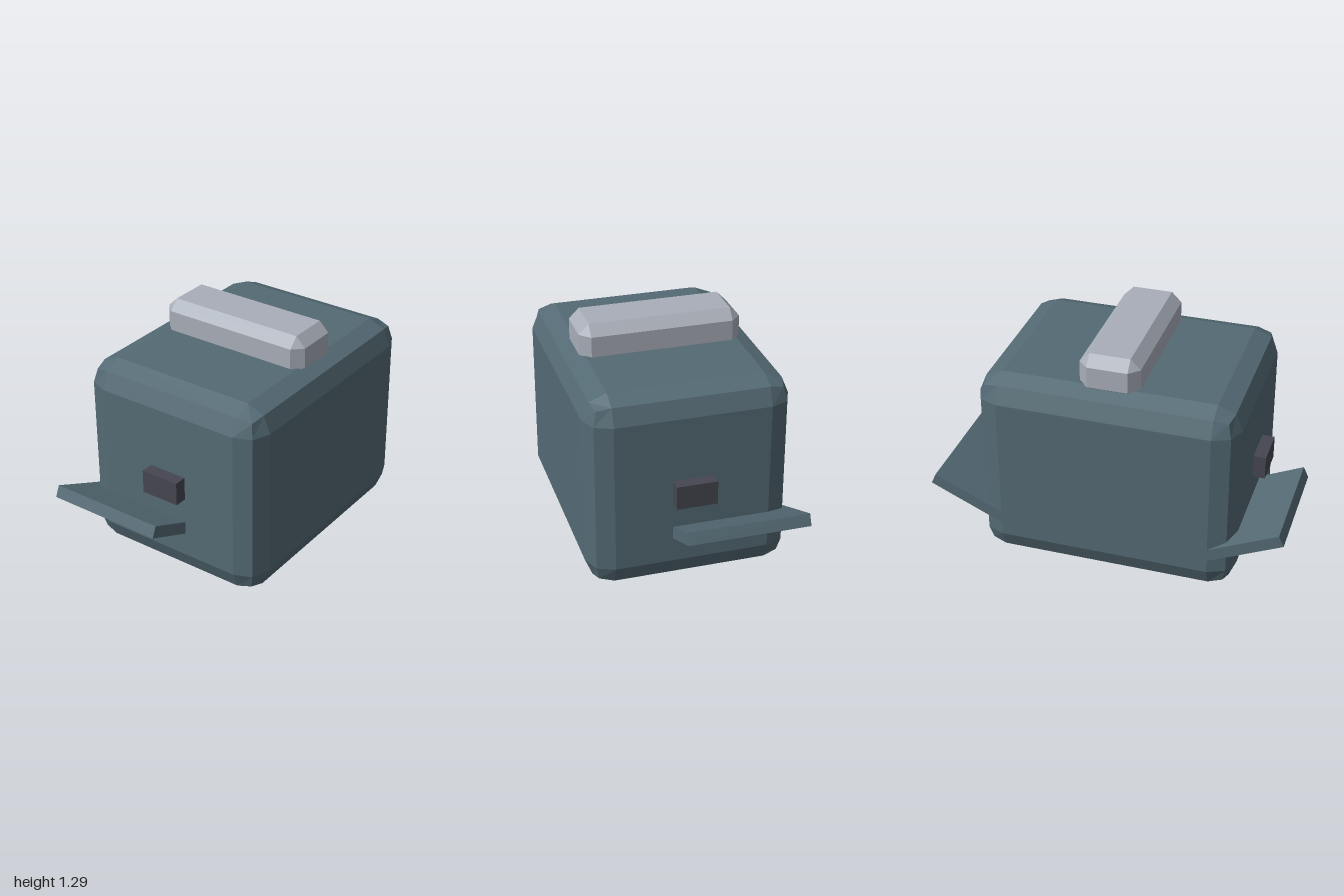
import * as THREE from 'three';
import { RoundedBoxGeometry } from 'three/addons/geometries/RoundedBoxGeometry.js';
import { ConvexGeometry } from 'three/addons/geometries/ConvexGeometry.js';

// Box with all edges cut at 45 degrees and triangular corners
function chamferBox(w, h, d, c) {
  const points = [];
  for (const sx of [-1, 1]) for (const sy of [-1, 1]) for (const sz of [-1, 1]) {
    for (const [cx, cy, cz] of [[0, c, c], [c, 0, c], [c, c, 0]]) {
      points.push(new THREE.Vector3(sx * (w / 2 - cx), sy * (h / 2 - cy), sz * (d / 2 - cz)));
    }
  }
  return new ConvexGeometry(points);
}

export function createModel() {
  const model = new THREE.Group();
  const slate = new THREE.MeshStandardMaterial({ color: 0x546a74, flatShading: true });
  slate.name = 'slate blue';
  const silver = new THREE.MeshStandardMaterial({ color: 0xa8aeb8, flatShading: true });
  silver.name = 'silver grey';
  const charcoal = new THREE.MeshStandardMaterial({ color: 0x454650, flatShading: true });
  charcoal.name = 'charcoal';

  const add = (name, geometry, material, x, y, z) => {
    const mesh = new THREE.Mesh(geometry, material);
    mesh.name = name;
    mesh.position.set(x, y, z);
    model.add(mesh);
    return mesh;
  };

  // Main block with two-step rounded edges
  const bodyGeometry = new RoundedBoxGeometry(1.45, 1.12, 1.12, 1, 0.136);
  bodyGeometry.computeVertexNormals();
  add('body', bodyGeometry, slate, 0, 0.56, 0);

  // Chamfered bar sunk slightly into the top
  add('topBar', chamferBox(0.335, 0.23, 0.9, 0.056), silver, 0, 1.175, 0);

  // Side flaps (cross-section in x-y, extruded along z) and side knobs
  for (const [side, s] of [['left', 1], ['right', -1]]) {
    add(side + 'Knob', new THREE.BoxGeometry(0.12, 0.134, 0.224), charcoal, s * 0.735, 0.562, 0);

    const section = new THREE.Shape([
      [0.59, 0.212], [1.0, 0.4], [0.972, 0.461], [0.562, 0.273],
    ].map(([x, y]) => new THREE.Vector2(s * x, y)));
    add(side + 'Flap', new THREE.ExtrudeGeometry(section, { depth: 0.67, bevelEnabled: false }),
      slate, 0, 0, -0.56);
  }

  return model;
}
